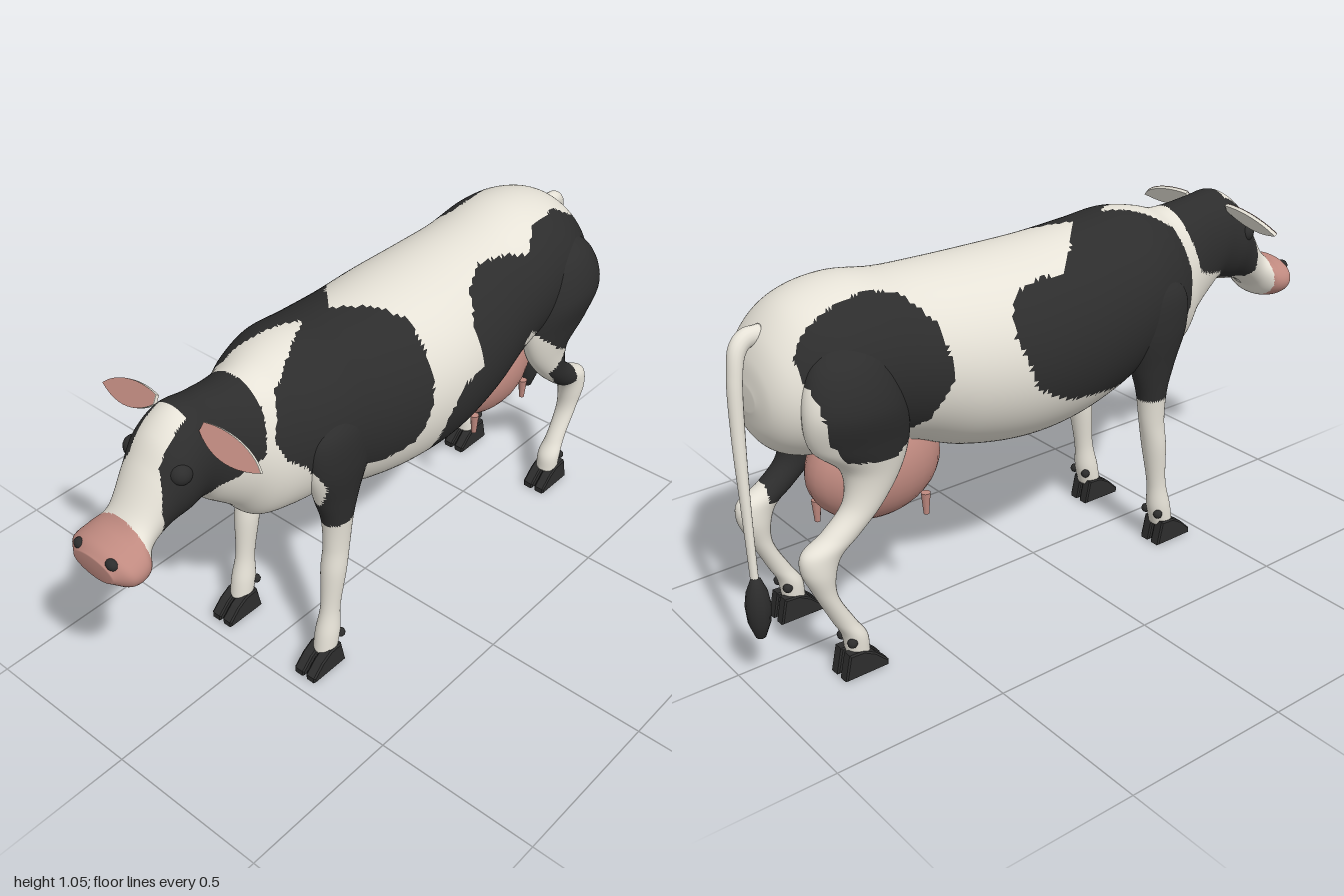
import * as THREE from 'three';

const mat = (name, color) => {
  const m = new THREE.MeshStandardMaterial({ color, side: THREE.DoubleSide });
  m.name = name;
  return m;
};

// Patch outlines: a patch is where its side outline (x, y) and its top outline (x, |z|) both hold.
const HEAD = {
  sides: [1, -1],
  side: [[-.83, .75], [-.83, .82], [-.80, .92], [-.76, 1.1], [-.5, 1.1], [-.5, .95], [-.53, .83], [-.6, .8], [-.66, .79], [-.7, .73], [-.78, .71]],
  top: [[-.9, .055], [-.7, .05], [-.7, -.1], [-.45, -.1], [-.45, .4], [-.9, .4]],
};
const SHOULDER_LEFT = {
  sides: [1],
  side: [[-.5, .87], [-.45, .97], [-.42, 1.1], [.02, 1.1], [0, .85], [-.03, .74], [-.08, .67], [-.18, .66], [-.25, .68], [-.25, .53], [-.38, .51], [-.39, .68], [-.43, .76], [-.48, .8]],
  top: [[-.55, .09], [-.42, .09], [-.22, -.01], [-.15, -.01], [-.05, .06], [.01, .13], [.05, .4], [-.55, .4]],
};
const SHOULDER_RIGHT = {
  sides: [-1],
  side: [[-.47, .85], [-.42, 1.1], [.24, 1.1], [.25, .85], [.2, .7], [.08, .63], [-.05, .6], [-.2, .57], [-.25, .5], [-.38, .5], [-.39, .68], [-.45, .75]],
  top: [[-.52, .09], [-.42, .09], [-.22, -.01], [-.15, -.01], [-.05, .1], [.03, .17], [.1, .16], [.2, .18], [.26, .24], [.26, .4], [-.55, .4]],
};
const HIP_LEFT = {
  sides: [1],
  side: [[.2, .79], [.2, .9], [.25, .96], [.35, .99], [.45, .98], [.52, .96], [.6, 1.01], [.72, 1.01], [.82, .95], [.87, .86], [.88, .7], [.84, .6], [.8, .5], [.8, .39], [.74, .38], [.64, .5],
    [.7, .57], [.63, .61], [.48, .75], [.44, .73], [.53, .62], [.44, .52], [.3, .48], [.1, .49], [.03, .56], [.04, .68], [.1, .77]],
  top: [[0, .4], [.02, .1], [.5, .1], [.55, .09], [.8, .09], [.83, .14], [.9, .15], [.9, .4]],
};
const HIP_RIGHT = {
  sides: [-1],
  side: [[.44, .8], [.46, .93], [.52, 1], [.6, 1.1], [.8, 1.1], [.84, .93], [.83, .83], [.81, .72], [.76, .64], [.62, .62], [.5, .68]],
  top: [[.42, .4], [.43, .2], [.5, .12], [.6, .1], [.8, .12], [.9, .16], [.9, .4]],
};
const PATCHES = [HEAD, SHOULDER_LEFT, SHOULDER_RIGHT, HIP_LEFT, HIP_RIGHT];

function inside(poly, x, y) {
  let hit = false;
  poly.forEach(([ax, ay], i) => {
    const [bx, by] = poly[(i + 1) % poly.length];
    if (ay > y !== by > y && x < ax + (bx - ax) * (y - ay) / (by - ay)) hit = !hit;
  });
  return hit;
}

// 0 white, 1 black, 2 pink
function coatColour(x, y, z) {
  if (x < -.895) return 2;
  const s = z < 0 ? -1 : 1;
  return PATCHES.some(p => p.sides.includes(s) && inside(p.side, x, y) && inside(p.top, x, Math.abs(z))) ? 1 : 0;
}

// Smooth skin through oval sections [ax, ay, bx, by, halfWidth, zCentre], closed at both ends
function loft(sections, steps, around) {
  const a = new THREE.CatmullRomCurve3(sections.map(s => new THREE.Vector3(s[0], s[1], s[4])));
  const b = new THREE.CatmullRomCurve3(sections.map(s => new THREE.Vector3(s[2], s[3], s[5] || 0)));
  const pos = [], index = [];
  for (let i = -1; i <= steps + 1; i++) {
    const u = Math.min(Math.max(i / steps, 0), 1), k = i < 0 || i > steps ? 0 : 1;
    const p = a.getPoint(u), q = b.getPoint(u);
    for (let j = 0; j < around; j++) {
      const t = j / around * Math.PI * 2, c = Math.cos(t) * k / 2;
      pos.push((p.x + q.x) / 2 + (p.x - q.x) * c, (p.y + q.y) / 2 + (p.y - q.y) * c, q.z + Math.sin(t) * p.z * k);
    }
  }
  for (let i = 0; i < steps + 2; i++) for (let j = 0; j < around; j++) {
    const n = (j + 1) % around, r = i * around, s = r + around;
    index.push(r + j, r + n, s + j, r + n, s + n, s + j);
  }
  const g = new THREE.BufferGeometry();
  g.setAttribute('position', new THREE.Float32BufferAttribute(pos, 3));
  g.setIndex(index);
  g.computeVertexNormals();
  return g;
}

// Sort triangles into one material group per coat colour
function paint(g) {
  const p = g.attributes.position, idx = g.index.array, bins = [[], [], []];
  for (let i = 0; i < idx.length; i += 3) {
    const tri = [idx[i], idx[i + 1], idx[i + 2]];
    const mid = f => tri.reduce((sum, v) => sum + p[f](v), 0) / 3;
    bins[coatColour(mid('getX'), mid('getY'), mid('getZ'))].push(...tri);
  }
  g.setIndex(bins.flat());
  let start = 0;
  bins.forEach((bin, m) => { if (bin.length) g.addGroup(start, bin.length, m); start += bin.length; });
  return g;
}

export function createModel() {
  const white = mat('white hide', 0xe6e2d7), black = mat('black hide', 0x2d2d2d), pink = mat('pink skin', 0xc08a80);
  const coat = [white, black, pink];
  const cow = new THREE.Group();
  cow.name = 'cow';
  const add = (name, geo, material, x = 0, y = 0, z = 0) => {
    const m = new THREE.Mesh(geo, material);
    m.name = name;
    m.position.set(x, y, z);
    cow.add(m);
    return m;
  };

  // Head, neck and trunk in one skin, nose to rump
  const head = [
    [-.997, .735, -.99, .665, .07], [-.97, .758, -.945, .637, .112], [-.92, .772, -.895, .642, .112], [-.885, .805, -.86, .68, .082],
    [-.82, .905, -.80, .715, .09], [-.77, .975, -.73, .73, .108], [-.70, 1.02, -.68, .735, .108], [-.62, 1.015, -.63, .69, .108],
    [-.53, 1.005, -.56, .63, .13], [-.46, 1.005, -.5, .565, .16], [-.39, 1.025, -.43, .555, .195]];
  const trunk = [
    [-.3, 1.04, -.32, .55, .225], [-.18, 1.03, -.18, .495, .243], [-.02, 1.018, -.02, .46, .262], [.15, 1.015, .15, .46, .274],
    [.33, 1.018, .33, .495, .258], [.48, 1.025, .48, .555, .236], [.62, 1.045, .62, .59, .228], [.72, 1.035, .72, .6, .22],
    [.8, 1.005, .8, .605, .195], [.86, .95, .86, .635, .16], [.893, .89, .893, .68, .115], [.908, .82, .908, .75, .05]];
  add('body', paint(loft([...head, ...trunk], 250, 112)), coat);

  // Legs with cloven hooves and dewclaws
  const frontLeg = [
    [-.28, .9, -.32, .9, .02, .17], [-.21, .82, -.41, .82, .05, .18], [-.2, .72, -.42, .72, .055, .18], [-.235, .6, -.385, .6, .05, .17],
    [-.26, .52, -.36, .52, .042, .17], [-.275, .42, -.355, .42, .036, .17], [-.29, .34, -.365, .34, .037, .17],
    [-.315, .2, -.375, .2, .028, .17], [-.32, .12, -.395, .12, .035, .17], [-.335, .06, -.405, .06, .035, .17]];
  const hindLeg = [
    [.74, .95, .68, .95, .02, .14], [.82, .88, .61, .88, .065, .17], [.85, .78, .57, .77, .08, .187], [.83, .68, .55, .66, .07, .175],
    [.745, .59, .575, .57, .055, .17], [.745, .5, .64, .48, .045, .17], [.81, .435, .71, .415, .04, .17], [.875, .395, .765, .37, .04, .17],
    [.88, .35, .785, .32, .04, .17], [.852, .28, .785, .26, .033, .17], [.80, .17, .735, .16, .03, .17], [.775, .12, .705, .11, .036, .17],
    [.765, .06, .70, .06, .035, .17]];
  const hoofShape = new THREE.Shape([[-.455, 0], [-.455, .012], [-.42, .046], [-.385, .066], [-.345, .068], [-.33, 0]].map(p => new THREE.Vector2(...p)));
  const hoof = new THREE.ExtrudeGeometry(hoofShape, { depth: .026, bevelSize: .004, bevelThickness: .005, bevelSegments: 1 });
  hoof.translate(0, .004, -.013);
  const claw = new THREE.SphereGeometry(.014, 10, 8);
  for (const s of [1, -1]) {
    for (const [name, legs, dx] of [['front', frontLeg, 0], ['hind', hindLeg, 1.12]]) {
      const sections = legs.map(r => [...r.slice(0, 5), r[5] * s]);
      add(name + 'Leg', paint(loft(sections, 110, 44)), coat);
      for (const d of [-.022, .022]) {
        add(name + 'Hoof', hoof, black, dx, 0, s * .17 + d);
        add(name + 'Dewclaw', claw, black, dx ? .762 : -.332, .105, s * .17 + d * 1.2);
      }
    }
  }

  // Udder and teats
  add('udder', new THREE.SphereGeometry(1, 28, 20), pink, .55, .495, 0).scale.set(.2, .157, .128);
  for (const x of [.435, .69]) for (const z of [-.075, .075]) {
    add('teat', new THREE.CylinderGeometry(.014, .008, .065, 10), pink, x, .358, z);
  }

  // Tail and tuft
  add('tail', loft([
    [.85, .965, .85, .915, .022, 0], [.9, .96, .885, .91, .024, 0], [.935, .93, .9, .895, .024, -.005], [.955, .85, .915, .85, .022, -.015],
    [.965, .7, .93, .7, .019, -.03], [.97, .5, .945, .5, .016, -.055], [.975, .3, .955, .3, .013, -.08]], 60, 16), white);
  const tuft = [[0, -.095], [.014, -.085], [.03, -.04], [.034, .01], [.028, .05], [.014, .085], [0, .09]];
  add('tailTuft', new THREE.LatheGeometry(tuft.map(p => new THREE.Vector2(...p)), 12), black, .965, .24, -.085);

  // Ears, drooping a little, pink on the side that faces forward and up
  const leaf = new THREE.Shape();
  leaf.moveTo(0, -.012);
  leaf.bezierCurveTo(.05, -.045, .12, -.055, .2, -.005);
  leaf.bezierCurveTo(.15, .035, .06, .035, 0, .012);
  const earBack = new THREE.ExtrudeGeometry(leaf, { depth: .01, bevelEnabled: false });
  earBack.translate(0, 0, -.005);
  for (const s of [1, -1]) {
    const out = new THREE.Vector3(0, -.17, s * .985), facing = new THREE.Vector3(-.83, .55, s * .095).normalize();
    const normal = facing.clone().multiplyScalar(s);
    const turn = new THREE.Matrix4().makeBasis(out, normal.clone().cross(out), normal);
    const back = add('earBack', earBack, white, -.68, .985, s * .082);
    const inner = add('earInner', new THREE.ShapeGeometry(leaf), pink, -.68, .985, s * .082);
    inner.position.addScaledVector(facing, .007);
    for (const m of [back, inner]) m.quaternion.setFromRotationMatrix(turn);
    // Eyes and nostrils
    add('eye', new THREE.SphereGeometry(.03, 16, 12), black, -.762, .892, s * .082);
    add('nostril', new THREE.SphereGeometry(.016, 12, 8), black, -.978, .733, s * .058).scale.set(.9, 1, 1.2);
  }
  return cow;
}
